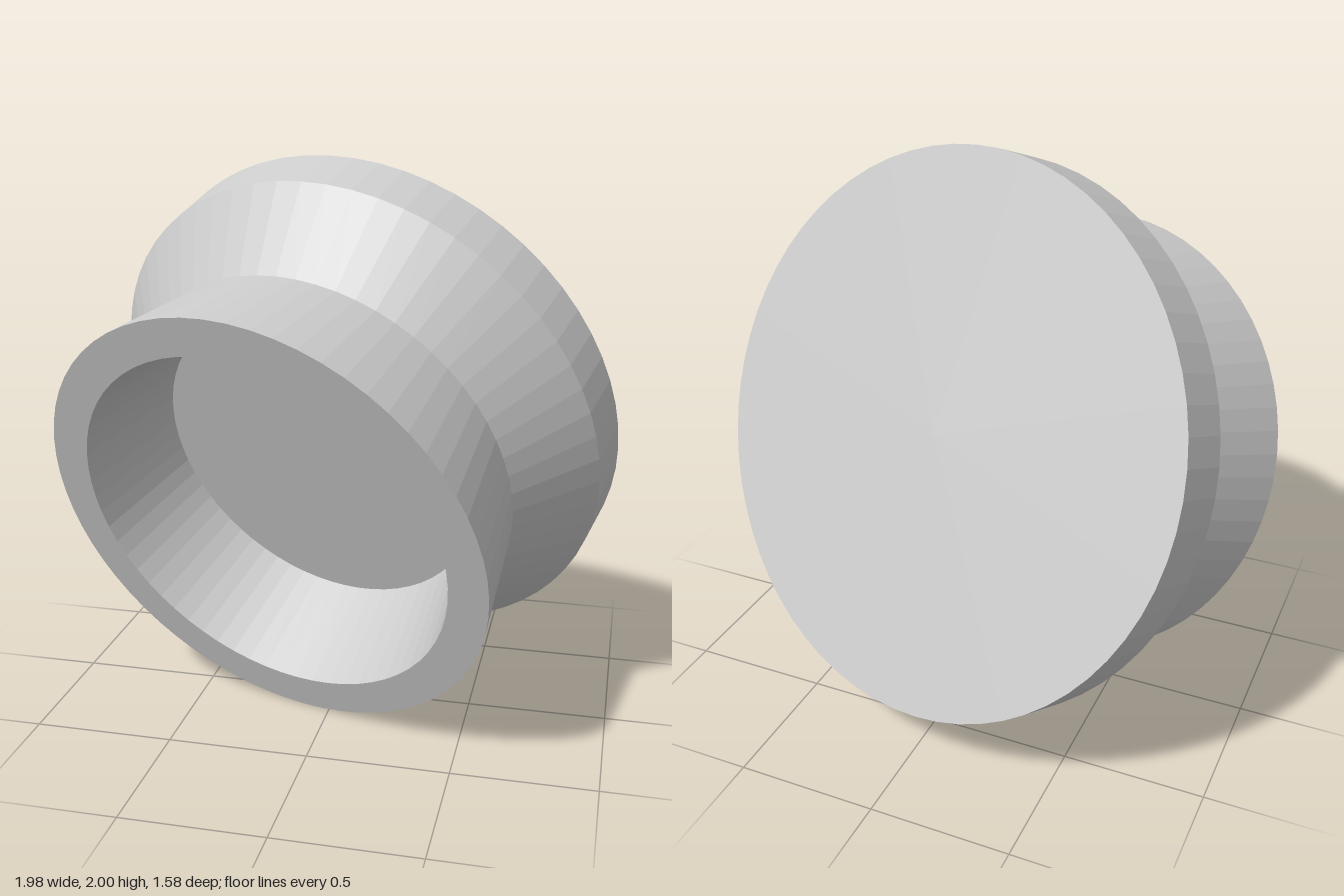
import * as THREE from 'three';

const SEGMENTS = 64;

export function createModel() {
  const model = new THREE.Group();
  const knob = new THREE.Group();
  knob.name = 'knob';
  model.add(knob);

  const material = new THREE.MeshStandardMaterial({ color: 0xcccccc, flatShading: true });

  // Each part is a turned profile of [radius, height along the axis]
  function turned(name, profile) {
    const points = profile.map(([r, h]) => new THREE.Vector2(r, h));
    const mesh = new THREE.Mesh(new THREE.LatheGeometry(points, SEGMENTS), material);
    mesh.name = name;
    knob.add(mesh);
  }

  // Wide flat disc with a straight edge
  turned('disc', [[0, 0], [0.968, 0], [0.968, 0.2]]);

  // Cone narrowing from the disc to the neck
  turned('shoulder', [[0.968, 0.2], [0.752, 0.455]]);

  // Flared cup: outer wall, rim, inner wall and floor
  turned('cup', [[0.752, 0.455], [0.84, 0.875], [0.699, 0.875], [0.611, 0.455], [0, 0.455]]);

  // Tilt the axis so the cup opens forward, down and to the right
  const axis = new THREE.Vector3(-0.268, -0.352, 0.897).normalize();
  knob.quaternion.setFromUnitVectors(new THREE.Vector3(0, 1, 0), axis);
  knob.position.set(0.052, 1.095, -0.365);

  return model;
}
